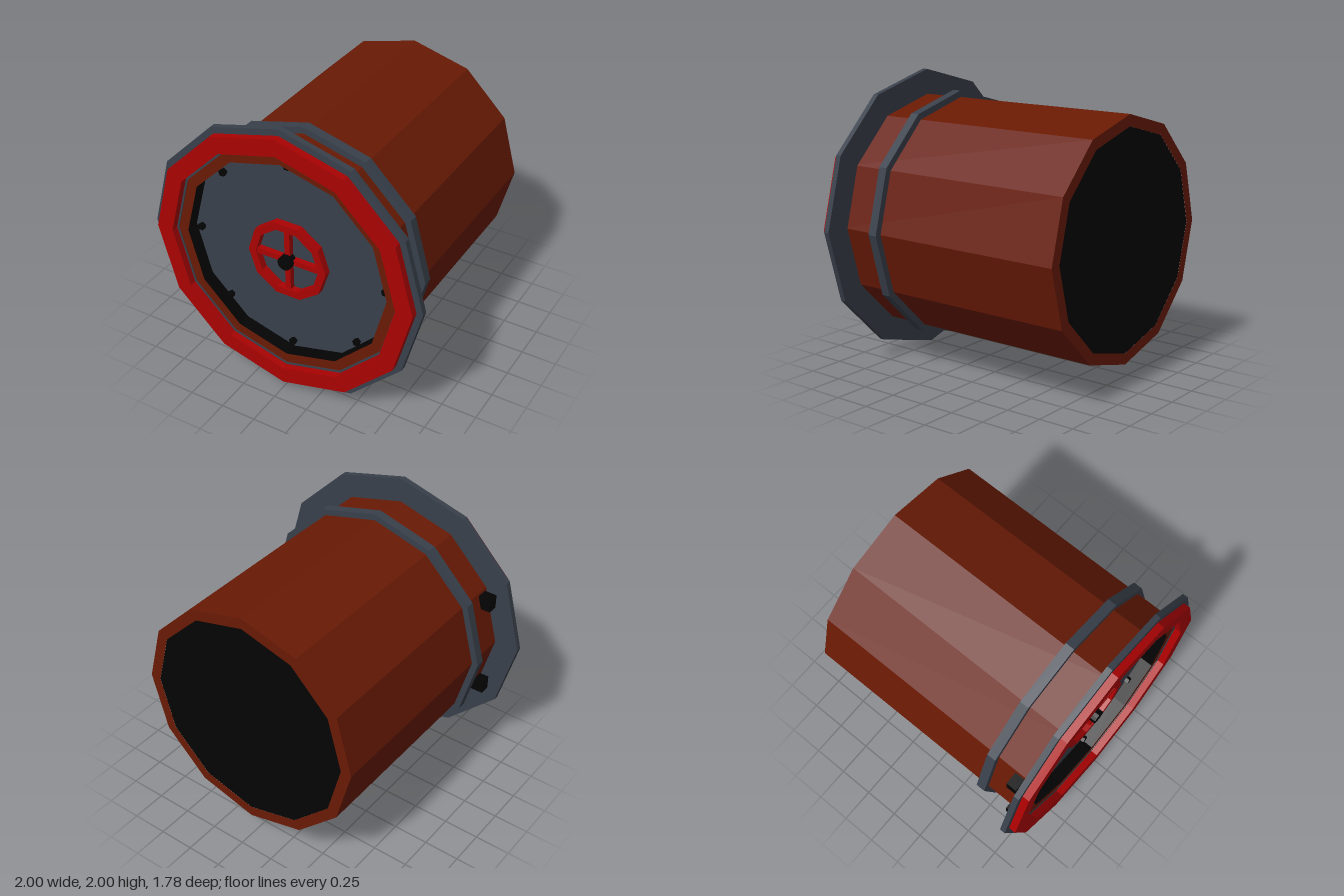
import * as THREE from 'three';

const flat = (geo) => {
  const g = geo.index ? geo.toNonIndexed() : geo;
  g.computeVertexNormals();
  return g;
};

// Faceted surface turned around the z axis from [radius, z] points
const turned = (points, sides = 12) => flat(
  new THREE.LatheGeometry(points.map(([r, z]) => new THREE.Vector2(r, z)), sides, Math.PI / 2)
    .rotateX(Math.PI / 2));

// Ring with a rectangular section
const ring = (inner, outer, z0, z1, sides) =>
  turned([[inner, z0], [outer, z0], [outer, z1], [inner, z1], [inner, z0]], sides);

// Short solid cylinder lying along z
const stud = (radius, length, sides) =>
  flat(new THREE.CylinderGeometry(radius, radius, length, sides).rotateX(-Math.PI / 2));

export function createModel() {
  const mat = (name, color, extra = {}) => {
    const m = new THREE.MeshStandardMaterial({ color, ...extra });
    m.name = name;
    return m;
  };
  const rust = mat('rust brown', 0x691a04);
  const steel = mat('slate steel', 0x39404b);
  const red = mat('signal red', 0xaa0202);
  const black = mat('black', 0x030303, { side: THREE.DoubleSide });

  const model = new THREE.Group();
  model.name = 'tubeHatch';
  const add = (name, geo, material, parent = model) => {
    const mesh = new THREE.Mesh(geo, material);
    mesh.name = name;
    parent.add(mesh);
    return mesh;
  };

  // Tube: outer wall with both rims, dark front recess and dark back end
  const bore = 0.747;
  add('tubeBody', turned([[bore, -0.89], [0.825, -0.89], [0.825, 0.835], [bore, 0.835]]), rust);
  add('recessWall', turned([[bore, 0.74], [bore, 0.835]]), black);
  add('backEnd', turned([[0, -0.889], [bore, -0.889]]), black);

  // Bands around the tube
  add('collar', ring(0.81, 0.87, 0.495, 0.56), steel);
  add('flange', ring(0.82, 1, 0.8, 0.84), steel);
  add('frontRing', ring(0.835, 0.955, 0.84, 0.89), red);

  // Recessed door
  add('door', turned([[bore, 0.74], [0, 0.74]]), steel);

  // Bolts around the door
  const boltGeo = stud(0.026, 0.04, 5);
  for (let i = 0; i < 8; i++) {
    const a = (i * Math.PI) / 4;
    add('bolt', boltGeo, black).position.set(0.695 * Math.cos(a), 0.695 * Math.sin(a), 0.75);
  }

  // Hand wheel: rim, crossed spokes and hub
  const wheel = new THREE.Group();
  wheel.name = 'handWheel';
  model.add(wheel);
  add('wheelRim', ring(0.235, 0.29, 0.75, 0.8, 10), red, wheel);
  for (const [w, h] of [[0.5, 0.04], [0.04, 0.48]]) {
    add('spoke', new THREE.BoxGeometry(w, h, 0.04), red, wheel).position.z = 0.77;
  }
  add('hub', stud(0.05, 0.07, 12), black, wheel).position.z = 0.795;

  // Two hinge blocks on the right side
  for (const s of [-1, 1]) {
    add('hinge', new THREE.BoxGeometry(0.09, 0.1, 0.075), black).position.set(-0.768, s * 0.35, 0.737);
  }

  // Lift everything so it stands on the ground
  for (const part of model.children) part.position.y += 1;
  return model;
}
